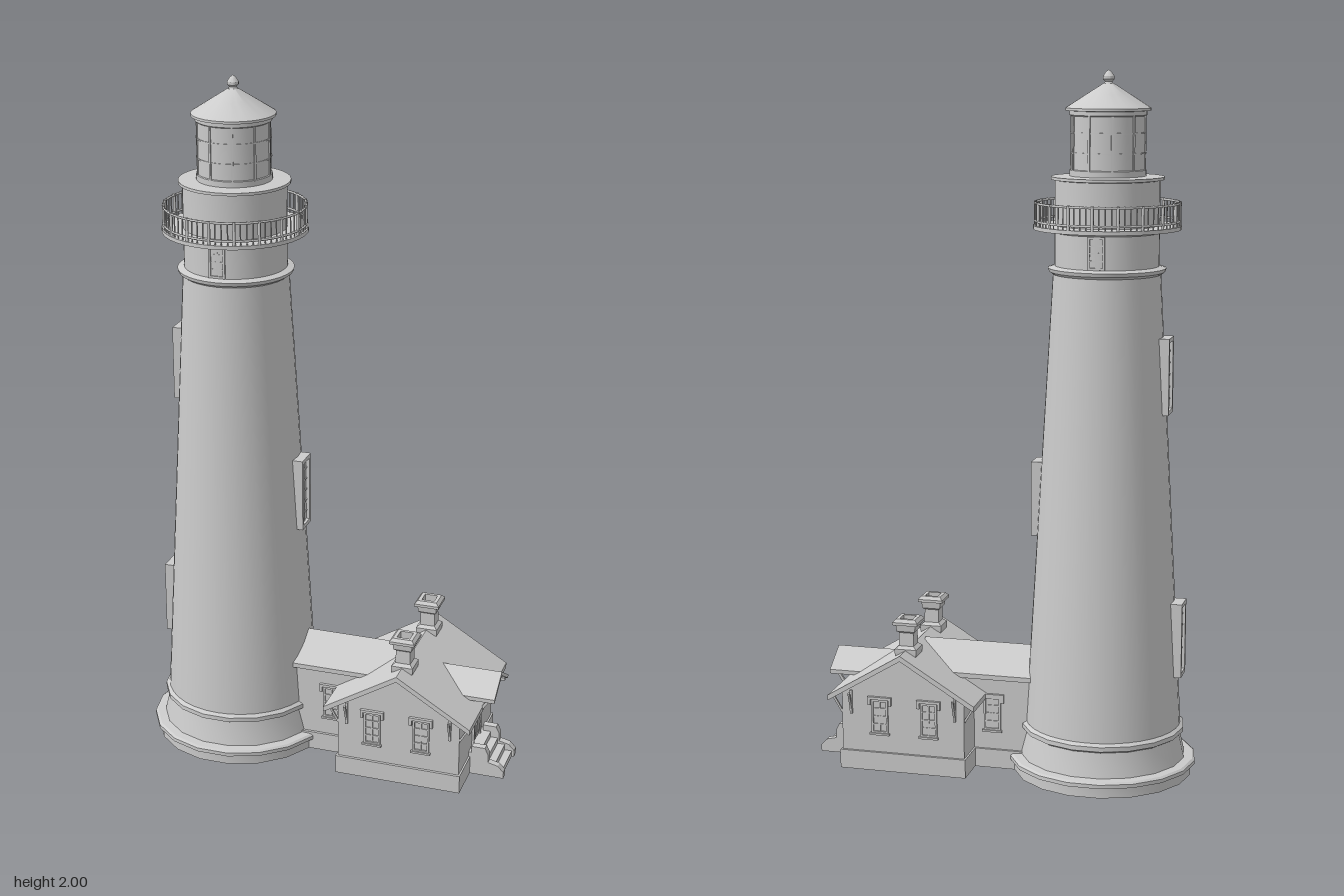
import * as THREE from 'three';
import { toCreasedNormals } from 'three/addons/utils/BufferGeometryUtils.js';

const mat = new THREE.MeshStandardMaterial({ color: 0xcccccc, side: THREE.DoubleSide });

function add(parent, name, geo, x = 0, y = 0, z = 0) {
  const m = new THREE.Mesh(geo, mat);
  m.name = name;
  m.position.set(x, y, z);
  parent.add(m);
  return m;
}
const box = (parent, name, w, h, d, x, y, z) =>
  add(parent, name, new THREE.BoxGeometry(w, h, d), x, y, z);

// Surface of revolution from [radius, height] pairs, with sharp profile edges
function lathe(points, sides) {
  const g = new THREE.LatheGeometry(points.map(p => new THREE.Vector2(...p)), sides, Math.PI / 2);
  return toCreasedNormals(g, 0.5);
}

// Outline extruded along z, centred
function prism(points, length) {
  const shape = new THREE.Shape(points.map(p => new THREE.Vector2(...p)));
  return new THREE.ExtrudeGeometry(shape, { depth: length, bevelEnabled: false }).translate(0, 0, -length / 2);
}

// Bent roof slab with its ridge along z
const roof = (half, eave, ridge, t, length) => prism([
  [-half, eave], [-half, eave - t], [0, ridge - t], [half, eave - t], [half, eave], [0, ridge]], length);

// Square bar between two points
function strut(parent, name, a, b, t) {
  const p = new THREE.Vector3(...a), q = new THREE.Vector3(...b);
  const m = box(parent, name, t, t, p.distanceTo(q), 0, 0, 0);
  m.position.copy(p).add(q).multiplyScalar(0.5);
  m.lookAt(q);
}

// Window facing +z: frame, recessed pane and glazing bars
function makeWindow(name, w, h, cols, rows, back, frame) {
  const g = new THREE.Group();
  g.name = name;
  for (const s of [-1, 1]) {
    box(g, 'jamb', frame, h, back, s * (w - frame) / 2, 0, -back / 2);
    box(g, s > 0 ? 'head' : 'sill', w, frame, back, 0, s * (h - frame) / 2, -back / 2);
  }
  const pane = Math.min(0.01, back / 2);
  box(g, 'pane', w - frame, h - frame, back - pane, 0, 0, -(back + pane) / 2);
  for (let i = 1; i < cols; i++)
    box(g, 'glazingBar', 0.004, h, 0.006, (i / cols - 0.5) * (w - frame), 0, -pane);
  for (let i = 1; i < rows; i++)
    box(g, 'glazingBar', w - frame, 0.004, 0.006, 0, (i / rows - 0.5) * (h - frame), -pane);
  return g;
}

function makeTower() {
  const t = new THREE.Group();
  t.name = 'tower';
  t.position.x = -0.285;

  // Plinth, tapered shaft and neck
  add(t, 'plinth', lathe([[0, 0], [0.257, 0], [0.257, 0.028], [0.269, 0.032], [0.269, 0.043], [0.262, 0.048],
    [0.238, 0.05], [0.222, 0.12], [0.234, 0.127], [0.234, 0.14], [0.223, 0.148]], 18));
  add(t, 'shaft', lathe([[0.223, 0.148], [0.15, 1.45]], 36));
  add(t, 'neckMoulding', lathe([[0.15, 1.44], [0.162, 1.448], [0.165, 1.458], [0.146, 1.464]], 36));
  add(t, 'watchRoom', lathe([[0.146, 1.46], [0.146, 1.7], [0.157, 1.702], [0.157, 1.71], [0.1, 1.712]], 36));

  // Gallery deck and railing
  add(t, 'galleryDeck', lathe([[0.14, 1.553], [0.16, 1.562], [0.206, 1.565], [0.206, 1.576], [0.14, 1.576]], 36));
  for (const y of [1.588, 1.638]) {
    const rail = add(t, 'galleryRail', new THREE.TorusGeometry(0.2, 0.0035, 6, 48), 0, y, 0);
    rail.rotation.x = Math.PI / 2;
  }
  for (let i = 0; i < 72; i++) {
    const a = (i / 72) * Math.PI * 2, main = i % 4 === 0, r = main ? 0.0045 : 0.002;
    add(t, main ? 'railPost' : 'baluster', new THREE.CylinderGeometry(r, r, 0.068, 6),
      0.2 * Math.sin(a), 1.608, 0.2 * Math.cos(a));
  }

  // Lantern room, roof and finial
  add(t, 'lantern', lathe([[0.106, 1.71], [0.106, 1.728], [0.103, 1.73], [0.103, 1.875], [0.107, 1.878], [0.107, 1.895]], 36));
  for (let i = 0; i < 10; i++) {
    const a = ((i + 0.5) / 10) * Math.PI * 2;
    const bar = box(t, 'lanternBar', 0.006, 0.155, 0.006, 0.103 * Math.sin(a), 1.803, 0.103 * Math.cos(a));
    bar.rotation.y = a;
  }
  for (const y of [1.775, 1.83])
    add(t, 'lanternRing', lathe([[0.103, y - 0.002], [0.105, y - 0.002], [0.105, y + 0.002], [0.103, y + 0.002]], 36));
  add(t, 'lanternRoof', lathe([[0.1, 1.888], [0.118, 1.89], [0.118, 1.897], [0.06, 1.934], [0.014, 1.963]], 36));
  add(t, 'finial', lathe([[0.014, 1.96], [0.01, 1.968], [0.016, 1.974], [0.016, 1.982], [0.009, 1.993], [0, 2]], 16));

  // Tall shaft windows: [side, outer radius, centre height]
  for (const [s, r, y] of [[-1, 0.232, 0.405], [1, 0.207, 0.795], [-1, 0.185, 1.16]]) {
    const w = makeWindow('shaftWindow', 0.072, 0.215, 2, 6, 0.06, 0.012);
    w.position.set(s * r, y, 0);
    w.rotation.y = s * Math.PI / 2;
    t.add(w);
  }
  // Small windows under the gallery
  for (const s of [-1, 1]) {
    const w = makeWindow('watchRoomWindow', 0.048, 0.09, 2, 4, 0.012, 0.006);
    w.position.set(0, 1.51, s * 0.149);
    w.rotation.y = s > 0 ? 0 : Math.PI;
    t.add(w);
  }
  return t;
}

function makeHouse() {
  const h = new THREE.Group();
  h.name = 'house';
  const cx = 0.263;

  // Main block, gables facing front and back
  box(h, 'foundation', 0.376, 0.055, 0.392, cx, 0.0275, 0);
  add(h, 'houseWalls', prism([[-0.183, 0.05], [0.183, 0.05], [0.183, 0.225], [0, 0.337], [-0.183, 0.225]], 0.376), cx);
  add(h, 'houseRoof', roof(0.219, 0.222, 0.355, 0.016, 0.43), cx);

  // Passage to the tower
  box(h, 'passageFoundation', 0.22, 0.055, 0.176, -0.02, 0.0275, 0);
  add(h, 'passageWalls', prism([[-0.08, 0.05], [0.08, 0.05], [0.08, 0.275], [0, 0.34], [-0.08, 0.275]], 0.24)
    .rotateY(Math.PI / 2), -0.01);
  add(h, 'passageRoof', roof(0.093, 0.28, 0.353, 0.014, 0.38).rotateY(Math.PI / 2), 0.06);

  // Windows with hood moulds, front and back
  for (const s of [-1, 1]) {
    for (const [x, z] of [[0.025, 0.08], [0.185, 0.188], [0.332, 0.188]]) {
      const w = makeWindow('houseWindow', 0.05, 0.1, 2, 4, 0.01, 0.006);
      box(w, 'hood', 0.07, 0.008, 0.014, 0, 0.055, -0.003);
      for (const k of [-1, 1]) box(w, 'hoodDrop', 0.008, 0.018, 0.014, k * 0.031, 0.043, -0.003);
      box(w, 'ledge', 0.058, 0.006, 0.014, 0, -0.052, -0.003);
      w.position.set(x, 0.162, s * (z + 0.005));
      w.rotation.y = s > 0 ? 0 : Math.PI;
      h.add(w);
    }
    // Gable and side eave brackets
    for (const k of [-1, 1]) {
      const x = cx + k * 0.155, e = cx + k * 0.183;
      box(h, 'gableBracketPost', 0.007, 0.07, 0.007, x, 0.2, s * 0.191);
      strut(h, 'gableBracket', [x, 0.175, s * 0.19], [x, 0.232, s * 0.212], 0.006);
      strut(h, 'eaveBracket', [e, 0.165, s * 0.183], [e + k * 0.03, 0.215, s * 0.183], 0.006);
    }
  }

  // Chimneys
  for (const s of [-1, 1]) {
    const profile = [[0.028, 0.325], [0.032, 0.345], [0.032, 0.358], [0.022, 0.366], [0.021, 0.405], [0.027, 0.41],
      [0.029, 0.428], [0.037, 0.43], [0.037, 0.438], [0.029, 0.447], [0.019, 0.447], [0.019, 0.42], [0, 0.42]]
      .map(([r, y]) => [r * Math.SQRT2, y]);
    add(h, 'chimney', lathe(profile, 4).rotateY(Math.PI / 4), cx, 0, s * 0.127);
  }
  return h;
}

function makePorch() {
  const p = new THREE.Group();
  p.name = 'porch';
  const wall = 0.446;

  // Canopy on brackets
  add(p, 'porchRoof', roof(0.082, 0.256, 0.307, 0.012, 0.24).rotateY(Math.PI / 2), 0.4);
  add(p, 'porchGable', prism([[-0.066, 0.254], [0.066, 0.254], [0, 0.296]], 0.15).rotateY(Math.PI / 2), 0.425);
  for (const s of [-1, 1]) {
    const z = s * 0.064;
    box(p, 'bracketPost', 0.008, 0.1, 0.008, wall + 0.003, 0.203, z);
    box(p, 'bracketBeam', 0.07, 0.008, 0.008, wall + 0.034, 0.25, z);
    strut(p, 'bracketBrace', [wall, 0.165, z], [wall + 0.055, 0.247, z], 0.008);
  }

  // Door with frame and panels
  box(p, 'door', 0.008, 0.14, 0.066, wall, 0.15, 0);
  box(p, 'doorHead', 0.014, 0.008, 0.084, wall, 0.222, 0);
  for (const s of [-1, 1]) {
    box(p, 'doorJamb', 0.014, 0.165, 0.008, wall, 0.138, s * 0.038);
    for (const [y, ht] of [[0.18, 0.055], [0.115, 0.045]])
      box(p, 'doorPanel', 0.004, ht, 0.02, wall + 0.004, y, s * 0.015);
  }

  // Steps between stepped side walls
  for (let i = 0; i < 4; i++) {
    const end = 0.545 - i * 0.022;
    box(p, 'step', end - 0.44, 0.018, 0.11, (end + 0.44) / 2, 0.009 + i * 0.018, 0);
  }
  const side = prism([[0.44, 0], [0.552, 0], [0.552, 0.02], [0.535, 0.038], [0.505, 0.045],
    [0.505, 0.07], [0.495, 0.09], [0.455, 0.09], [0.455, 0.07], [0.44, 0.07]], 0.022);
  for (const s of [-1, 1]) add(p, 'stepSideWall', side, 0, 0, s * 0.066);
  return p;
}

export function createModel() {
  const model = new THREE.Group();
  model.name = 'lighthouse';
  model.add(makeTower(), makeHouse(), makePorch());
  return model;
}
